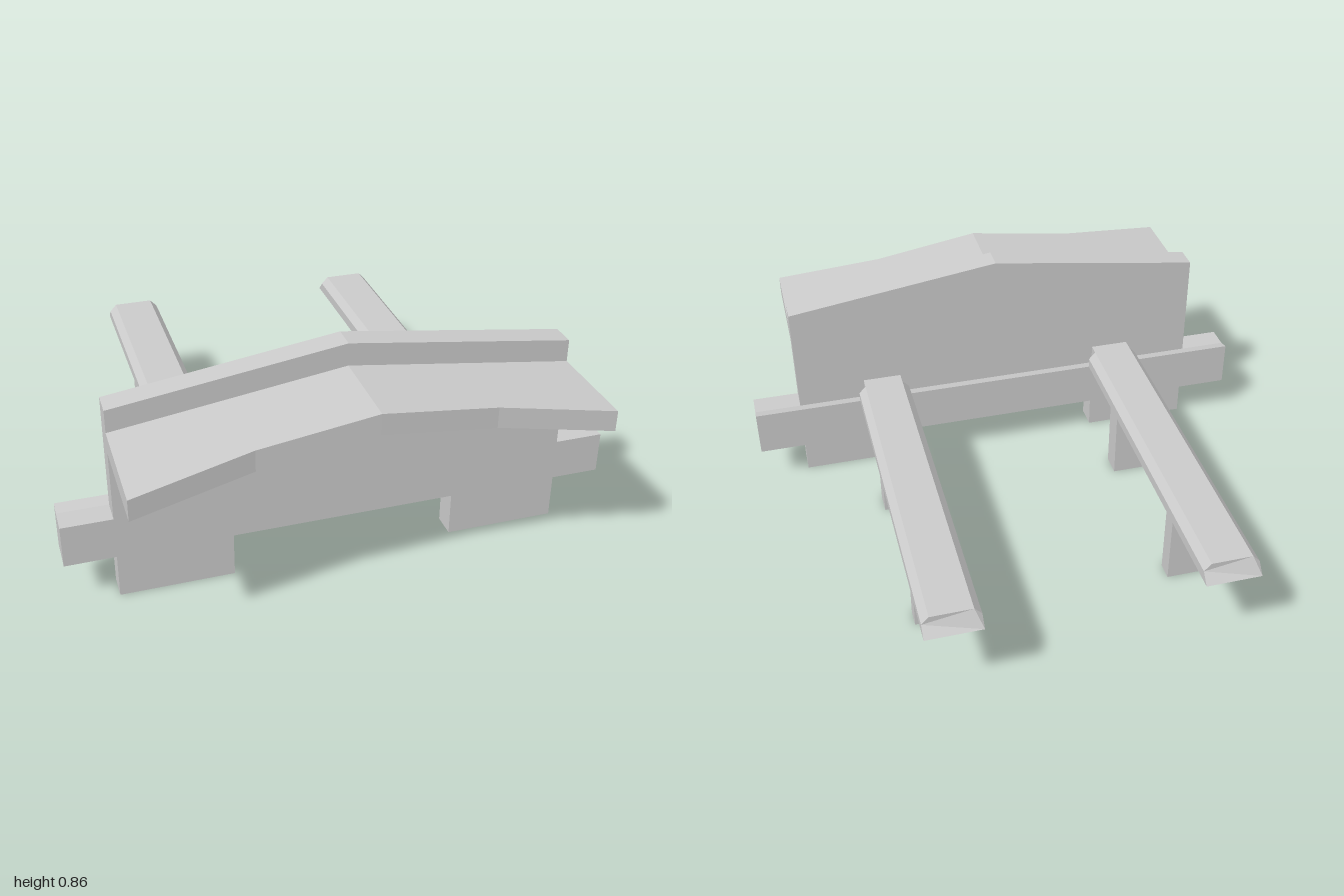
import * as THREE from 'three';

const material = new THREE.MeshStandardMaterial({ color: 0xcccccc, flatShading: true });

function add(parent, name, geometry, x = 0, y = 0, z = 0) {
  const mesh = new THREE.Mesh(geometry, material);
  mesh.name = name;
  mesh.position.set(x, y, z);
  parent.add(mesh);
  return mesh;
}

function extrude(points, depth) {
  const shape = new THREE.Shape(points.map(([a, b]) => new THREE.Vector2(a, b)));
  return new THREE.ExtrudeGeometry(shape, { depth, bevelEnabled: false });
}

// Moves every vertex of a geometry by a rule
function reshape(geometry, rule) {
  const p = geometry.attributes.position;
  const v = new THREE.Vector3();
  for (let i = 0; i < p.count; i++) {
    rule(v.fromBufferAttribute(p, i));
    p.setXYZ(i, v.x, v.y, v.z);
  }
  geometry.computeVertexNormals();
  return geometry;
}

export function createModel() {
  const model = new THREE.Group();
  model.name = 'benchStructure';

  // Upright panel with a peaked top and two feet
  add(model, 'frontPanel', extrude([
    [-0.82, 0], [-0.41, 0], [-0.41, 0.165], [0.41, 0.165], [0.41, 0], [0.82, 0],
    [0.82, 0.745], [0, 0.86], [-0.82, 0.745],
  ], 0.09), 0, 0, 0.455);

  // Cross beam: section drawn as (-z, y), run along x
  const beam = extrude([
    [-0.545, 0.165], [-0.455, 0.165], [-0.41, 0.155],
    [-0.41, 0.333], [-0.455, 0.322], [-0.545, 0.322],
  ], 2);
  add(model, 'crossBeam', beam.rotateY(Math.PI / 2), -1);

  // Canopy: a slab bent over the ridge, with an uneven front edge
  const frontEdge = [0.935, 0.87, 0.87, 0.855, 0.905];
  const canopy = reshape(new THREE.BoxGeometry(1.64, 0.077, 1, 4, 1, 1), (v) => {
    const column = Math.round((v.x + 0.82) / 0.41);
    v.z = v.z > 0 ? frontEdge[column] : 0.5;
    v.y += 0.738 - 0.14 * Math.abs(v.x);
  });
  add(model, 'canopy', canopy);

  // Two rails on legs running backwards
  for (const [side, x] of [['left', 0.481], ['right', -0.485]]) {
    const rail = new THREE.Group();
    rail.name = side + 'Rail';
    rail.position.x = x;
    model.add(rail);

    // Chamfered bar whose underside reaches further back
    const bar = reshape(extrude([
      [-0.101, 0.334], [0.101, 0.334], [0.101, 0.372],
      [0.075, 0.4], [-0.075, 0.4], [-0.101, 0.372],
    ], 1.315), (v) => {
      v.z -= 0.905;
      if (v.z < 0 && v.y < 0.35) v.z = -0.94;
    });
    add(rail, 'bar', bar);
    add(rail, 'barTongue', new THREE.BoxGeometry(0.15, 0.08, 0.05), 0, 0.36, 0.43);

    add(rail, 'middleLeg', new THREE.BoxGeometry(0.145, 0.34, 0.085), 0, 0.17, 0.148);
    add(rail, 'backLeg', new THREE.BoxGeometry(0.145, 0.34, 0.065), 0, 0.17, -0.512);
  }

  return model;
}
